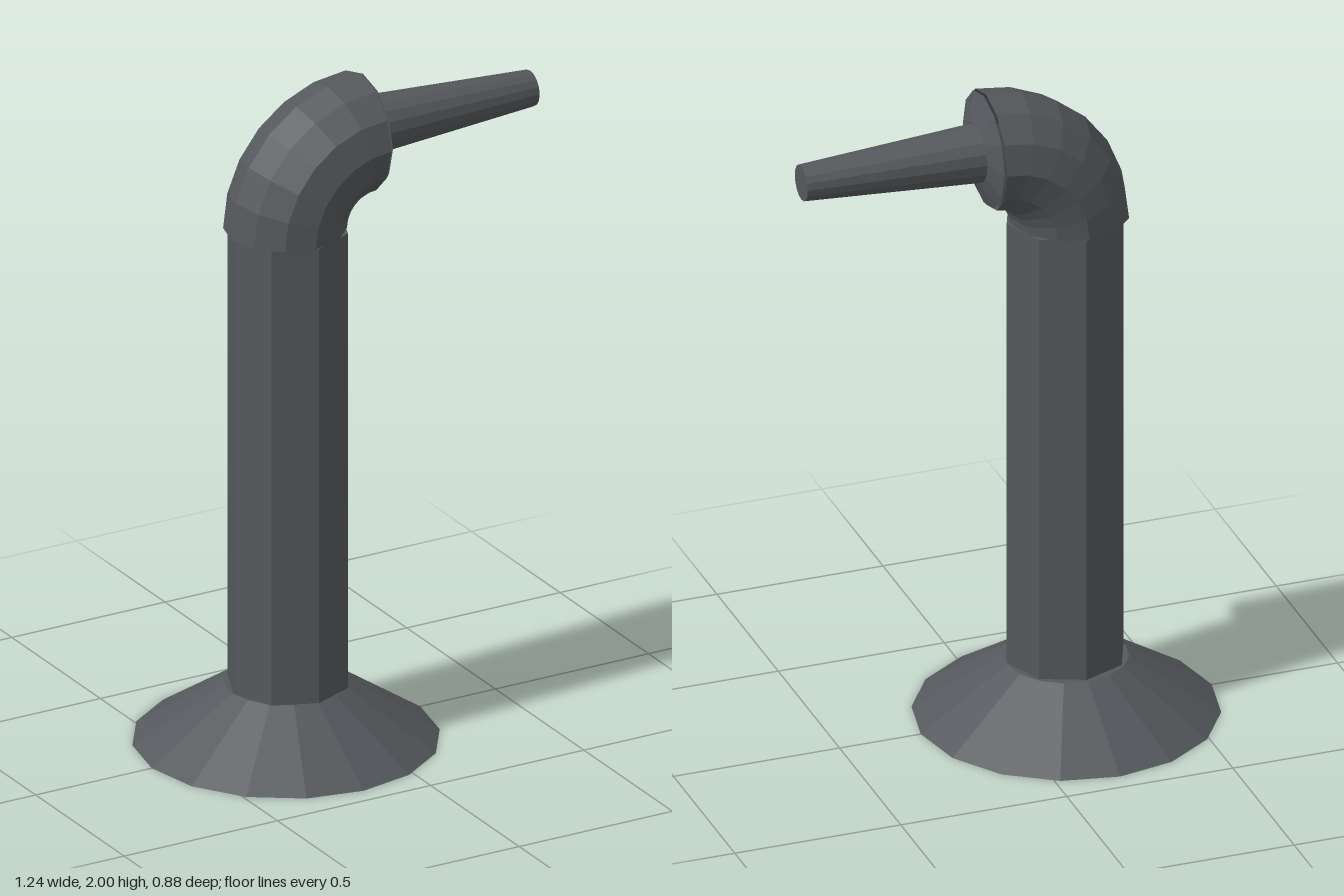
import * as THREE from 'three';

export function createModel() {
  const model = new THREE.Group();
  const material = new THREE.MeshStandardMaterial({
    color: 0x55585c, flatShading: true, side: THREE.DoubleSide,
  });

  function add(name, geometry, x, y, z) {
    const mesh = new THREE.Mesh(geometry, material);
    mesh.name = name;
    mesh.position.set(x, y, z);
    model.add(mesh);
    return mesh;
  }

  // Tapered cylinder lying along +x, from x0 (radius r0) to x1 (radius r1)
  function addAlongX(name, x0, r0, x1, r1, sides, y, z) {
    const geometry = new THREE.CylinderGeometry(r1, r0, x1 - x0, sides);
    geometry.rotateZ(-Math.PI / 2);
    return add(name, geometry, (x0 + x1) / 2, y, z);
  }

  const postX = -0.183, postZ = 0.01;
  const bendX = 0.055, bendY = 1.575;
  const bendRadius = bendX - postX, pipeRadius = 0.175;
  const spoutY = 1.825;

  // Flared foot
  add('base', new THREE.CylinderGeometry(0.178, 0.438, 0.175, 16), postX, 0.0875, 0);

  // Eight-sided upright
  add('post', new THREE.CylinderGeometry(0.176, 0.176, 1.4, 8), postX, 0.875, postZ);

  // Quarter bend from the post to the spout
  const bend = new THREE.TorusGeometry(bendRadius + 0.009, pipeRadius, 12, 6, Math.PI / 2);
  bend.rotateZ(Math.PI / 2);
  add('elbow', bend, bendX, bendY, postZ);

  // Sloping collar and tapered spout
  addAlongX('collar', 0.062, 0.17, 0.092, 0.088, 12, spoutY, postZ);
  addAlongX('spout', 0.088, 0.086, 0.617, 0.053, 16, spoutY, -0.005);

  return model;
}
